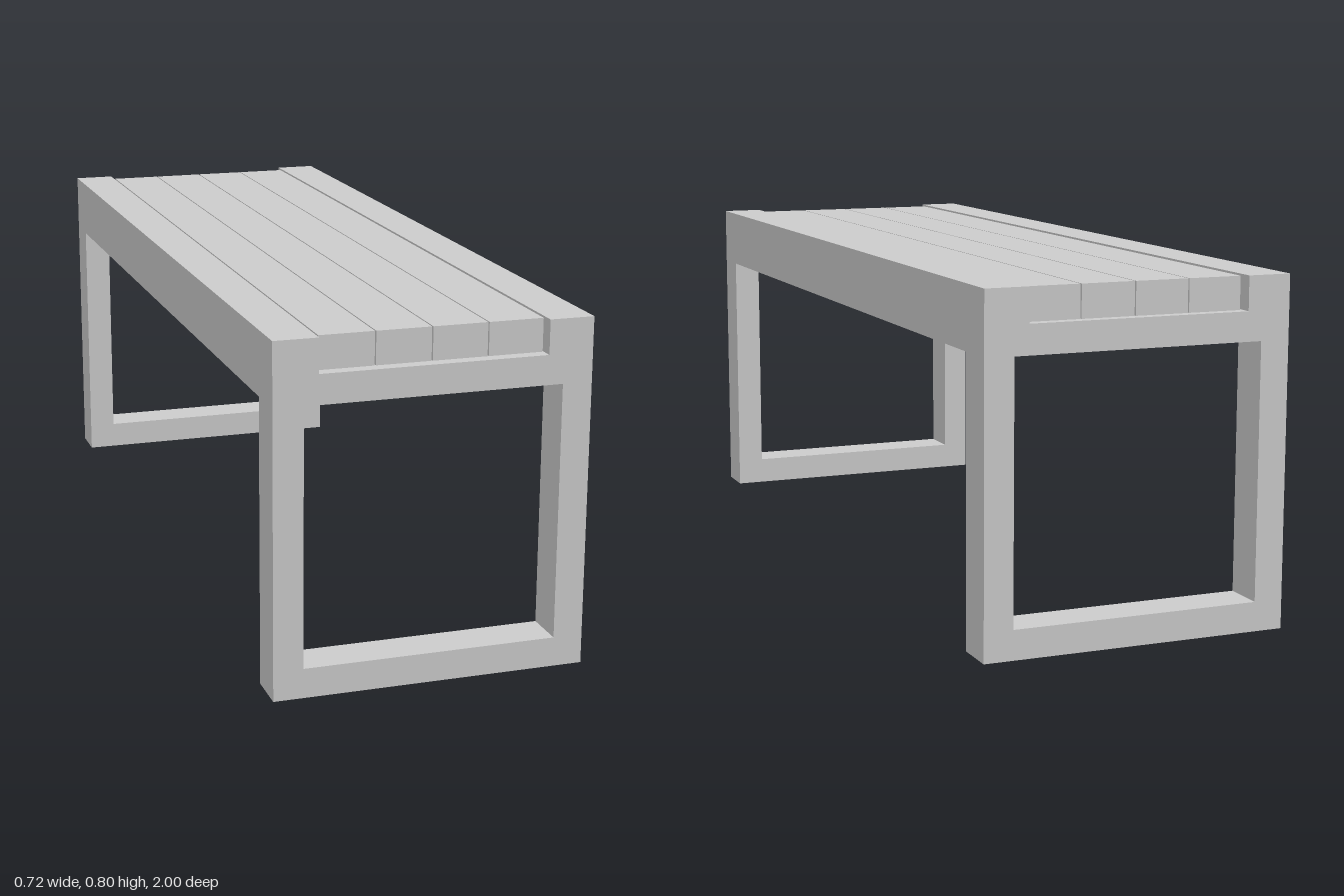
import * as THREE from 'three';

const W = 0.36;          // half width
const INNER = 0.292;     // half width of the leg opening
const SEAT_Y = 0.655;    // underside of the seat
const TOP = 0.8;
const CHANNEL_Y = 0.722; // floor of the recess holding the slats

export function createModel() {
  const bench = new THREE.Group();
  bench.name = 'bench';
  const material = new THREE.MeshStandardMaterial({ color: 0xcccccc, flatShading: true });

  // Extrudes an outline in the xy plane from z0 to z1
  function extrude(name, points, z0, z1) {
    const shape = new THREE.Shape(points.map(([x, y]) => new THREE.Vector2(x, y)));
    const geometry = new THREE.ExtrudeGeometry(shape, { depth: z1 - z0, bevelEnabled: false });
    geometry.translate(0, 0, z0);
    const mesh = new THREE.Mesh(geometry, material);
    mesh.name = name;
    bench.add(mesh);
  }

  // Seat tray: full-length channel with raised side rails
  extrude('seatTray', [
    [-W, SEAT_Y], [W, SEAT_Y], [W, TOP], [0.258, TOP],
    [0.258, CHANNEL_Y], [-0.259, CHANNEL_Y], [-0.259, TOP], [-W, TOP],
  ], -1, 1);

  // Leg frames: two posts joined by a floor bar, one at each end
  const legOutline = [
    [-W, 0], [W, 0], [W, SEAT_Y], [INNER, SEAT_Y],
    [INNER, 0.068], [-INNER, 0.068], [-INNER, SEAT_Y], [-W, SEAT_Y],
  ];
  extrude('frontLegFrame', legOutline, 0.9, 1);
  extrude('backLegFrame', legOutline, -1, -0.9);

  // Four slats lying in the channel, set back slightly from both ends
  const slat = new THREE.BoxGeometry(0.1245, 0.797 - CHANNEL_Y, 1.945);
  for (let i = 0; i < 4; i++) {
    const mesh = new THREE.Mesh(slat, material);
    mesh.name = `slat${i + 1}`;
    mesh.position.set(-0.1895 + i * 0.1275, (0.797 + CHANNEL_Y) / 2, -0.002);
    bench.add(mesh);
  }

  return bench;
}
